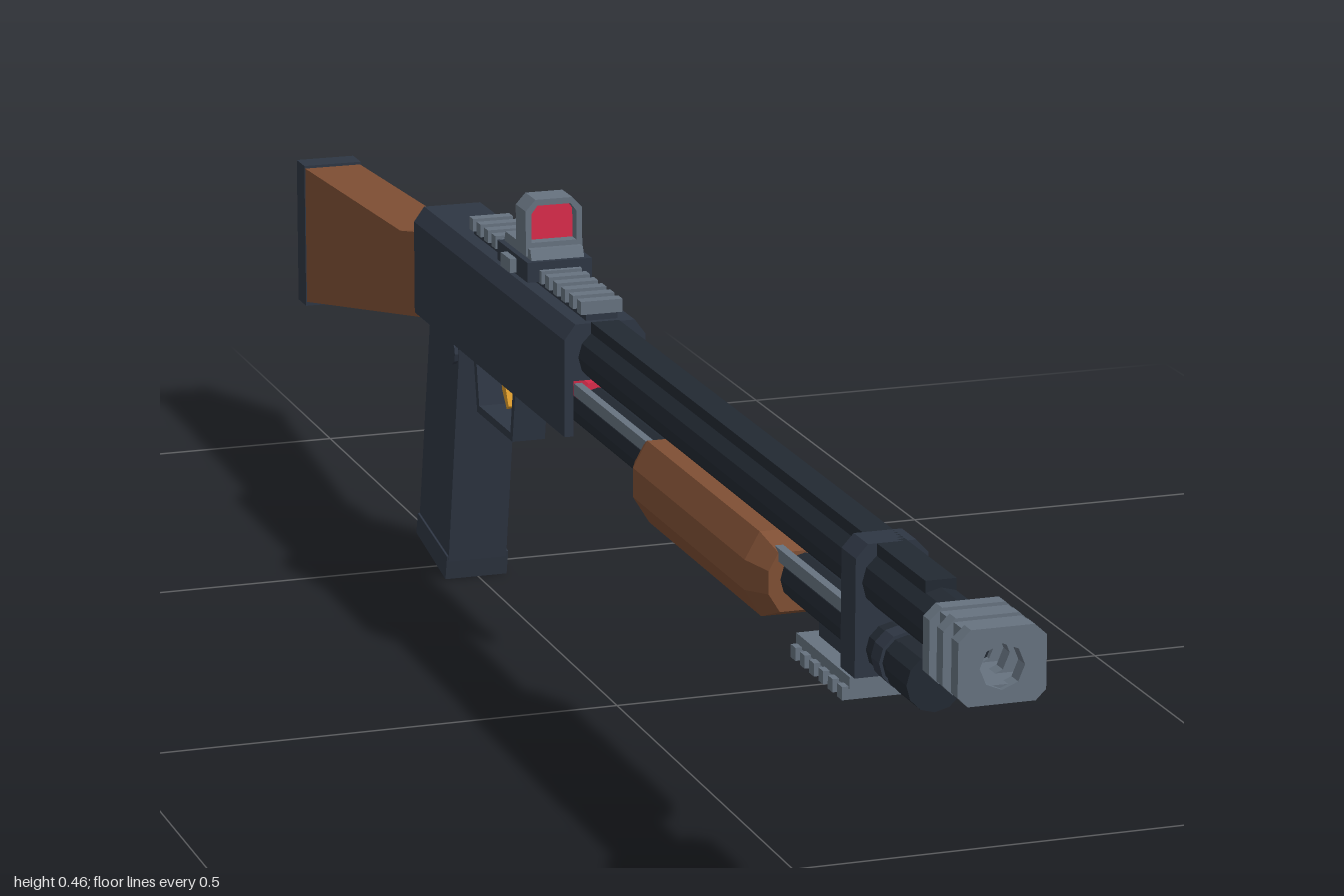
import * as THREE from 'three';

const mat = (name, color) => {
  const m = new THREE.MeshStandardMaterial({ color });
  m.name = name;
  return m;
};

export function createModel() {
  const model = new THREE.Group();
  model.name = 'longGun';
  const body = new THREE.Group();
  body.name = 'body';
  body.position.x = -0.002;
  model.add(body);

  const steel = mat('gunmetal', 0x2e3643);
  const dark = mat('darkSteel', 0x222932);
  const grey = mat('greyMetal', 0x66727f);
  const wood = mat('wood', 0x7f4f34);
  const brass = mat('brass', 0xd9992b);
  const red = mat('redLens', 0xd92b4b);

  const add = (name, geo, material, x = 0, y = 0, z = 0) => {
    const mesh = new THREE.Mesh(geo.index ? geo.toNonIndexed() : geo, material);
    mesh.geometry.computeVertexNormals();
    mesh.name = name;
    mesh.position.set(x, y, z);
    body.add(mesh);
    return mesh;
  };
  // Box given by its limits
  const box = (name, material, x0, x1, y0, y1, z0, z1) =>
    add(name, new THREE.BoxGeometry(x1 - x0, y1 - y0, z1 - z0), material,
      (x0 + x1) / 2, (y0 + y1) / 2, (z0 + z1) / 2);
  const toShape = (pts) => new THREE.Shape(pts.map(([a, b]) => new THREE.Vector2(a, b)));
  // Mirror a right-hand half outline, bottom to top, across x = 0
  const mirror = (half) => [...half, ...half.map(([x, y]) => [-x, y]).reverse()];
  // Extrude an (x, y) outline from z0 to z1
  const alongZ = (name, material, shape, z0, z1) =>
    add(name, new THREE.ExtrudeGeometry(shape, { depth: z1 - z0, bevelEnabled: false }), material, 0, 0, z0);
  // Extrude a (z, y) side outline to a width centred on x
  const alongX = (name, material, shape, width, x = 0) => {
    const g = new THREE.ExtrudeGeometry(shape, { depth: width, bevelEnabled: false });
    g.translate(0, 0, -width / 2).rotateY(-Math.PI / 2);
    return add(name, g, material, x);
  };
  // Tube or rod along z
  const rod = (name, material, r, y, z0, z1, sides = 12, x = 0) =>
    add(name, new THREE.CylinderGeometry(r, r, z1 - z0, sides).rotateX(Math.PI / 2), material, x, y, (z0 + z1) / 2);

  // Barrel with top rib
  rod('barrel', dark, 0.027, 0.348, -0.05, 0.93);
  box('barrelRib', dark, -0.014, 0.014, 0.37, 0.382, -0.03, 0.86);

  // Slotted muzzle brake: pierced plates joined by strips
  const plate = toShape(mirror([[0.03, 0.316], [0.039, 0.325], [0.039, 0.372], [0.028, 0.382]]));
  const bore = new THREE.Path();
  bore.absarc(0, 0.348, 0.02, 0, Math.PI * 2, true);
  plate.holes.push(bore);
  plate.curveSegments = 4;
  for (const [z0, z1] of [[0.985, 1], [0.952, 0.966], [0.92, 0.935]]) {
    add('muzzlePlate', new THREE.ExtrudeGeometry(plate, { depth: z1 - z0, bevelEnabled: false, curveSegments: 4 }), grey, 0, 0, z0);
  }
  for (const y of [0.319, 0.367]) box('muzzleStrip', grey, -0.03, 0.03, y, y + 0.012, 0.925, 0.995);

  // Magazine tube, end cap and action bars
  rod('magazineTube', dark, 0.023, 0.288, -0.28, 0.82);
  rod('magazineCap', dark, 0.026, 0.288, 0.8, 0.85);
  rod('magazineCollar', steel, 0.026, 0.288, 0.765, 0.785);
  for (const s of [-1, 1]) {
    box('actionBar', grey, s * 0.021 - 0.004, s * 0.021 + 0.004, 0.305, 0.317, -0.05, 0.7);
  }

  // Barrel clamp
  alongZ('barrelClamp', steel,
    toShape(mirror([[0.033, 0.263], [0.033, 0.37], [0.022, 0.382]])), 0.71, 0.745);

  // Lower accessory rail
  box('lowerRail', grey, -0.028, 0.028, 0.245, 0.256, 0.585, 0.72);
  box('lowerRailMount', steel, -0.012, 0.012, 0.252, 0.27, 0.6, 0.71);
  for (let i = 0; i < 6; i++) {
    const z = 0.588 + i * 0.0235;
    box('lowerRailTooth', grey, -0.034, 0.034, 0.235, 0.247, z, z + 0.012);
  }

  // Faceted wooden pump handle with tapered ends
  const pump = toShape(mirror([[0.03, 0.246], [0.046, 0.272], [0.046, 0.3], [0.032, 0.325]]));
  add('pumpHandle', new THREE.ExtrudeGeometry(pump, {
    depth: 0.31, bevelThickness: 0.03, bevelSize: 0.012, bevelOffset: -0.012, bevelSegments: 1,
  }), wood, 0, 0, 0.19);

  // Receiver: open loading channel in front, solid block behind
  const channel = [[0.032, 0.325], [0.032, 0.27], [0.041, 0.27], [0.041, 0.366], [0.03, 0.381]];
  alongZ('receiverFront', steel, toShape(mirror(channel)), -0.27, -0.03);
  alongZ('receiverRear', steel,
    toShape(mirror([[0.041, 0.27], [0.041, 0.366], [0.03, 0.381]])), -0.527, -0.27);
  rod('loadedShell', red, 0.02, 0.298, -0.2, -0.05);
  box('shellLifter', grey, -0.022, 0.022, 0.272, 0.278, -0.27, -0.1);

  // Ejection port cover with brass line
  box('portCover', steel, 0.04, 0.047, 0.3, 0.368, -0.295, -0.12);
  box('portInset', dark, 0.045, 0.0485, 0.312, 0.36, -0.285, -0.13);
  box('portTrim', brass, 0.04, 0.0475, 0.294, 0.3, -0.295, -0.12);

  // Top rail
  box('topRail', steel, -0.016, 0.016, 0.378, 0.39, -0.4, -0.04);
  for (let i = 0; i < 15; i++) {
    const z = -0.4 + i * 0.0248;
    box('topRailTooth', grey, -0.021, 0.021, 0.387, 0.4, z, z + 0.013);
  }

  // Reflex sight: clamp base, housing, hooded lens
  box('sightClamp', steel, -0.033, 0.033, 0.388, 0.408, -0.268, -0.17);
  box('sightKnob', grey, -0.04, -0.03, 0.39, 0.404, -0.235, -0.205);
  alongX('sightBase', grey,
    toShape([[-0.265, 0.406], [-0.175, 0.406], [-0.18, 0.418], [-0.26, 0.418]]), 0.054);
  const hood = toShape(mirror([[0.029, 0.41], [0.029, 0.455], [0.019, 0.466]]));
  hood.holes.push(new THREE.Path(mirror([[0.023, 0.423], [0.023, 0.452], [0.017, 0.46]])
    .map(([x, y]) => new THREE.Vector2(x, y))));
  alongZ('sightHood', grey, hood, -0.22, -0.188);
  alongZ('sightLens', red,
    toShape(mirror([[0.023, 0.423], [0.023, 0.452], [0.017, 0.46]])), -0.207, -0.201);

  // Trigger guard and trigger
  const guard = toShape([[-0.405, 0.272], [-0.39, 0.198], [-0.272, 0.198], [-0.258, 0.272]]);
  guard.holes.push(new THREE.Path([[-0.394, 0.262], [-0.383, 0.206], [-0.279, 0.206], [-0.268, 0.262]]
    .map(([z, y]) => new THREE.Vector2(z, y))));
  alongX('triggerGuard', steel, guard, 0.034);
  alongX('trigger', brass, toShape([[-0.342, 0.265], [-0.338, 0.235], [-0.322, 0.218],
    [-0.316, 0.222], [-0.326, 0.24], [-0.318, 0.265]]), 0.014);

  // Slanted grip with base cap and side button
  alongX('grip', steel, toShape([[-0.505, 0.272], [-0.549, 0.044], [-0.447, 0.024], [-0.403, 0.272]]), 0.062);
  alongX('gripBase', steel, toShape([[-0.549, 0.048], [-0.555, 0.025], [-0.452, 0.004], [-0.446, 0.03]]), 0.066);
  alongX('gripBaseTrim', brass, toShape([[-0.54, 0.023], [-0.54, 0.02], [-0.467, 0.005], [-0.467, 0.009]]), 0.045);
  add('safetyButton', new THREE.CylinderGeometry(0.013, 0.013, 0.07, 10).rotateZ(Math.PI / 2), steel, 0, 0.255, -0.42);

  // Wooden stock and butt pad
  alongX('stock', wood, toShape([[-0.525, 0.264], [-0.972, 0.17], [-0.972, 0.32], [-0.61, 0.336], [-0.525, 0.354]]), 0.062);
  box('buttPad', steel, -0.032, 0.032, 0.166, 0.323, -1, -0.97);

  return model;
}
